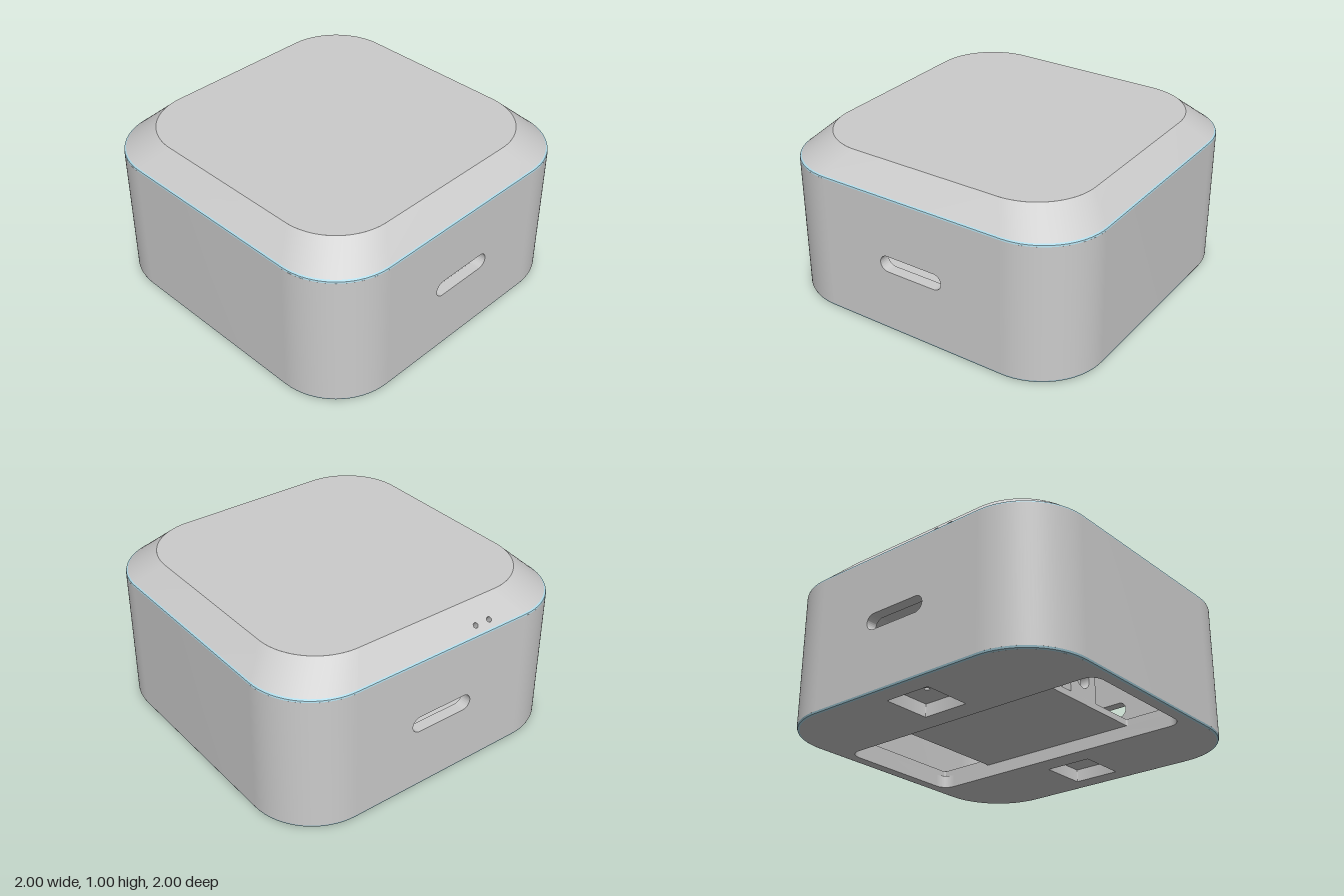
import * as THREE from 'three';
import { toCreasedNormals } from 'three/addons/utils/BufferGeometryUtils.js';

const N = 16; // segments per rounded corner
const GREY = new THREE.MeshStandardMaterial({ color: 0xcccccc, side: THREE.DoubleSide });
const BLUE = new THREE.MeshStandardMaterial({ color: 0xadd8e6, side: THREE.DoubleSide });

// Rounded rectangle path, usable as an outline or as a hole
function roundRect(cx, cy, hw, hh, r, Type = THREE.Path) {
  const p = new Type();
  const corners = [[1, 1], [-1, 1], [-1, -1], [1, -1]];
  corners.forEach(([sx, sy], k) => p.absarc(
    cx + sx * (hw - r), cy + sy * (hh - r), r, k * Math.PI / 2, (k + 1) * Math.PI / 2, false));
  p.closePath();
  return p;
}

function circle(x, y, r) {
  return new THREE.Path().absarc(x, y, r, 0, Math.PI * 2, false);
}

function extrude(shape, depth) {
  const g = new THREE.ExtrudeGeometry(shape, { depth, bevelEnabled: false, curveSegments: N });
  return toCreasedNormals(g, 0.5);
}

// Horizontal slab: shape y becomes -z, depth becomes height
function slab(shape, y, height) {
  return extrude(shape, height).rotateX(-Math.PI / 2).translate(0, y, 0);
}

// Skin between rounded-square rings [half width, corner radius, height]
function loft(rings, skip = -1) {
  const count = 4 * (N + 1), pos = [], index = [];
  for (const [half, r, y] of rings) {
    for (let k = 0; k < 4; k++) {
      const sx = k === 0 || k === 3 ? 1 : -1, sz = k < 2 ? -1 : 1;
      for (let i = 0; i <= N; i++) {
        const a = (k + i / N) * Math.PI / 2;
        pos.push(sx * (half - r) + r * Math.cos(a), y, sz * (half - r) - r * Math.sin(a));
      }
    }
  }
  for (let j = 0; j < rings.length - 1; j++) {
    for (let i = 0; i < count; i++) {
      if (i === skip) continue;
      const a = j * count + i, b = j * count + (i + 1) % count;
      index.push(a, b, b + count, a, b + count, a + count);
    }
  }
  const g = new THREE.BufferGeometry();
  g.setAttribute('position', new THREE.Float32BufferAttribute(pos, 3));
  g.setIndex(index);
  return toCreasedNormals(g, 0.5);
}

export function createModel() {
  const model = new THREE.Group();
  const add = (name, geometry, material = GREY) => {
    const mesh = new THREE.Mesh(geometry, material);
    mesh.name = name;
    model.add(mesh);
    return mesh;
  };
  const low = 0.015, high = 0.85, wall = 0.07;

  // Front and back walls with a rounded slot
  const panel = new THREE.Shape([[-0.6, low], [0.6, low], [0.6, high], [-0.6, high]]
    .map(([x, y]) => new THREE.Vector2(x, y)));
  panel.holes.push(roundRect(0, 0.44, 0.21, 0.05, 0.0499));
  const panelGeo = extrude(panel, wall).translate(0, 0, 1 - wall);

  // Side walls with the rounded corners
  const side = new THREE.Shape();
  side.moveTo(0.6, -1);
  side.absarc(0.6, -0.6, 0.4, -Math.PI / 2, 0, false);
  side.absarc(0.6, 0.6, 0.4, 0, Math.PI / 2, false);
  side.absarc(0.6, 0.6, 0.4 - wall, Math.PI / 2, 0, true);
  side.absarc(0.6, -0.6, 0.4 - wall, 0, -Math.PI / 2, true);
  side.closePath();
  const sideGeo = slab(side, low, high - low);

  // Upright lugs with a hole, one at each end of the bridge
  const lug = new THREE.Shape();
  lug.moveTo(-0.12, 0.1);
  lug.lineTo(0.12, 0.1);
  lug.absarc(0, 0.24, 0.12, 0, Math.PI, false);
  lug.closePath();
  lug.holes.push(circle(0, 0.24, 0.06));
  const lugGeo = extrude(lug, 0.06).rotateY(-Math.PI / 2).translate(0.54, 0, 0);

  for (const [turn, face, flank] of [[0, 'front', 'left'], [Math.PI, 'back', 'right']]) {
    add(face + 'Wall', panelGeo).rotation.y = turn;
    add(flank + 'Wall', sideGeo).rotation.y = turn;
    add(flank + 'Lug', lugGeo).rotation.y = turn;
  }

  // Coloured rounded edges
  add('lowerEdge', loft([[0.985, 0.385, 0], [0.996, 0.396, 0.004], [1, 0.4, low]]), BLUE);
  add('upperEdge', loft([[1, 0.4, high], [0.998, 0.398, 0.859], [0.99, 0.395, 0.865]]), BLUE);

  // Sloped lid, leaving out the straight back face
  add('lidSlope', loft([[0.99, 0.395, 0.865], [0.85, 0.37, 1]], N));
  add('lidTop', slab(roundRect(0, 0, 0.85, 0.85, 0.37, THREE.Shape), 0.95, 0.05));

  // Back slope with two small indicator holes
  const rise = 0.135, run = 0.14, len = Math.hypot(rise, run);
  const slope = new THREE.Shape([[-0.595, 0], [0.595, 0], [0.48, len], [-0.48, len]]
    .map(([x, y]) => new THREE.Vector2(x, y)));
  for (const x of [0.355, 0.255]) slope.holes.push(circle(x, 0.049, 0.016));
  const frame = new THREE.Matrix4().makeBasis(
    new THREE.Vector3(-1, 0, 0),
    new THREE.Vector3(0, rise / len, run / len),
    new THREE.Vector3(0, run / len, -rise / len)).setPosition(0, 0.865, -0.99);
  add('lidBackSlope', extrude(slope, 0.05).translate(0, 0, -0.05).applyMatrix4(frame));

  // Inside of the lid
  add('lidLining', loft([[0.93, 0.33, 0.845], [0.8, 0.32, 0.93]]));
  add('ceiling', slab(roundRect(0, 0, 0.8, 0.8, 0.32, THREE.Shape), 0.93, 0.01));

  // Base with a long recess and two square pockets
  const base = roundRect(0, 0, 0.985, 0.985, 0.385, THREE.Shape);
  base.holes.push(roundRect(0, 0, 0.92, 0.43, 0.08));
  for (const s of [-1, 1]) base.holes.push(roundRect(0, s * 0.72, 0.152, 0.152, 0.005));
  add('base', slab(base, 0, 0.08));

  // Inner floor: a bridge between two windows, with pin holes over the pockets
  const floor = roundRect(0, 0, 0.95, 0.95, 0.35, THREE.Shape);
  for (const s of [-1, 1]) {
    floor.holes.push(roundRect(s * 0.73, 0, 0.19, 0.43, 0.01));
    floor.holes.push(circle(0, s * 0.72, 0.016));
  }
  add('innerFloor', slab(floor, 0.08, 0.04));

  return model;
}
